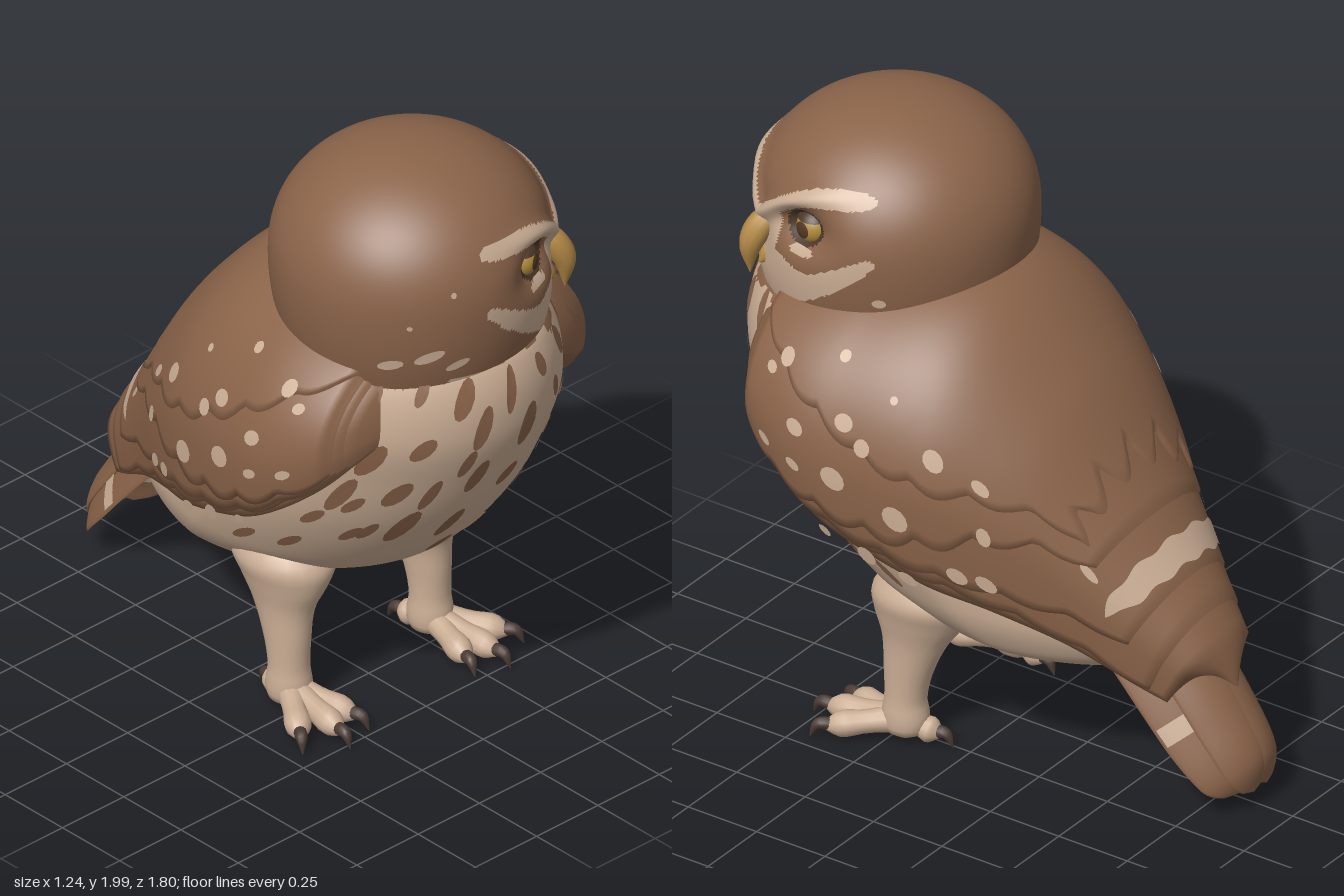
import * as THREE from 'three';

const mat = (name, color, side = THREE.FrontSide) => {
  const m = new THREE.MeshStandardMaterial({ color, side });
  m.name = name;
  return m;
};
const rad = THREE.MathUtils.degToRad, { sin, cos, abs, PI, sqrt, exp, hypot, min, max } = Math;

// Smooth interpolation through [x, y] points sorted by rising x.
function curve(p) {
  const slope = i => {
    const a = p[max(i - 1, 0)], b = p[min(i + 1, p.length - 1)];
    return (b[1] - a[1]) / (b[0] - a[0]);
  };
  return x => {
    if (x <= p[0][0]) return p[0][1];
    if (x >= p[p.length - 1][0]) return p[p.length - 1][1];
    let i = 0;
    while (x > p[i + 1][0]) i++;
    const h = p[i + 1][0] - p[i][0], t = (x - p[i][0]) / h, t2 = t * t, t3 = t2 * t;
    return (2 * t3 - 3 * t2 + 1) * p[i][1] + (t3 - 2 * t2 + t) * h * slope(i) +
      (3 * t2 - 2 * t3) * p[i + 1][1] + (t3 - t2) * h * slope(i + 1);
  };
}

// Grid surface from fn(u, v) -> [x, y, z]; wrap welds the u seam.
function grid(fn, nu, nv, wrap = true) {
  const pos = [], idx = [], cols = wrap ? nu : nu + 1;
  for (let j = 0; j <= nv; j++) for (let i = 0; i < cols; i++) pos.push(...fn(i / nu, j / nv));
  for (let j = 0; j < nv; j++) for (let i = 0; i < nu; i++) {
    const a = j * cols + i, b = j * cols + (i + 1) % cols, c = a + cols, d = b + cols;
    idx.push(a, b, d, a, d, c);
  }
  return finish(pos, idx);
}
function finish(pos, idx) {
  const g = new THREE.BufferGeometry();
  g.setAttribute('position', new THREE.Float32BufferAttribute(pos, 3));
  g.setIndex(idx);
  g.computeVertexNormals();
  return g;
}
// Sorts faces into material groups by pick(x, y, z) at the face centre.
function paint(g, count, pick) {
  const p = g.attributes.position, id = g.index.array, sets = Array.from({ length: count }, () => []);
  for (let i = 0; i < id.length; i += 3) {
    const t = [id[i], id[i + 1], id[i + 2]];
    const mid = f => (p[f](t[0]) + p[f](t[1]) + p[f](t[2])) / 3;
    sets[pick(mid('getX'), mid('getY'), mid('getZ'))].push(...t);
  }
  let start = 0;
  sets.forEach((s, k) => { g.addGroup(start, s.length, k); start += s.length; });
  g.setIndex(sets.flat());
  return g;
}
// Round tapering limb along a path.
function sweep(pts, radii, n = 10) {
  const c = new THREE.CatmullRomCurve3(pts.map(p => new THREE.Vector3(...p)));
  const f = c.computeFrenetFrames(n), r = curve(radii.map((q, i) => [i / (radii.length - 1), q]));
  return grid((u, v) => {
    const k = Math.round(v * n), w = max(r(v), 0.002);
    return c.getPoint(v).addScaledVector(f.normals[k], w * cos(u * 2 * PI))
      .addScaledVector(f.binormals[k], w * sin(u * 2 * PI)).toArray();
  }, 12, n);
}
// Oval plates laid on a surface S(u, v); each spot is [u, v, ru, rv, tilt].
function ovals(S, spots) {
  const pos = [], idx = [], n = 12;
  for (const [u, v, ru, rv, tilt = 0] of spots) {
    const base = pos.length / 3;
    pos.push(...S(u, v));
    for (let k = 0; k < n; k++) {
      const t = k / n * 2 * PI;
      pos.push(...S(u + ru * cos(t) + ru * tilt * sin(t), v + rv * sin(t)));
      idx.push(base, base + 1 + k, base + 1 + (k + 1) % n);
    }
  }
  return finish(pos, idx);
}

export function createModel() {
  const owl = new THREE.Group();
  owl.name = 'owl';
  const brown = mat('brown plumage', 0x8a6349, THREE.DoubleSide), cream = mat('cream plumage', 0xcbae95, THREE.DoubleSide);
  const yellow = mat('eye yellow', 0xb38d3c), horn = mat('beak horn', 0xb58a48);
  const dark = mat('dark eye rim', 0x4a3629), claw = mat('claw', 0x4b3a33), pupil = mat('pupil', 0x533822);
  const add = (name, g, m, parent = owl) => {
    const o = new THREE.Mesh(g, m);
    o.name = name;
    parent.add(o);
    return o;
  };

  // Folded wing and back hull, as arches across z: a = 0 at the spine, 90 at the side.
  const xm = curve([[-.85, .13], [-.75, .17], [-.6, .24], [-.4, .345], [-.2, .46], [0, .55], [.3, .61], [.45, .605], [.6, .55], [.67, .48], [.7, .41]]);
  const yb = curve([[-.85, .42], [-.72, .64], [-.6, .8], [-.44, 1.02], [-.26, 1.28], [0, 1.52], [.3, 1.57], [.6, 1.53], [.7, 1.46]]);
  const yc = curve([[-.85, .34], [-.75, .42], [-.6, .55], [-.4, .74], [-.2, .88], [0, .98], [.3, 1.05], [.6, 1.15], [.7, 1.22]]);
  const yl = curve([[-.85, .26], [-.75, .3], [-.6, .37], [-.4, .49], [-.2, .585], [0, .65], [.3, .78], [.45, .88], [.6, 1.02], [.7, 1.16]]);
  const low = z => (yc(z) - yl(z)) / .57;
  const hull = (z, deg, o) => {
    const a = rad(deg), c = cos(a), s = sin(a);
    const x = max(xm(z) + o, .02) * (c < 0 ? Math.sign(s) * abs(s) ** .4 : s);
    return [x, yc(z) + max((c > 0 ? yb(z) - yc(z) : low(z)) + o, .01) * c, z];
  };
  const sideAngle = (z, y) => {
    const h = y > yc(z) ? yb(z) - yc(z) : low(z);
    return Math.acos(max(-1, min(1, (y - yc(z)) / h))) * 180 / PI;
  };

  // Body
  const bw = curve([[.37, .001], [.38, .1], [.41, .22], [.44, .31], [.5, .375], [.6, .43], [.8, .48], [1, .49], [1.2, .48], [1.4, .405], [1.5, .31]]);
  const zf = curve([[.37, -.34], [.38, -.15], [.41, .05], [.44, .22], [.5, .4], [.6, .55], [.8, .72], [1, .83], [1.2, .895], [1.4, .865], [1.5, .74]]);
  const zb = curve([[.37, -.35], [.38, -.5], [.41, -.55], [.5, -.63], [.6, -.63], [.8, -.5], [1, -.36], [1.2, -.2], [1.4, -.06], [1.5, .04]]);
  const body = (t, y, o = 0) => {
    const c = cos(t), m = (zf(y) + zb(y)) / 2, h = (zf(y) - zb(y)) / 2;
    return [(bw(y) + o) * sin(t) * (c < 0 ? 1 + .2 * c : 1), y, m + (h + o) * c];
  };
  add('body', paint(grid((u, v) => body(u * 2 * PI, .37 + 1.13 * v ** 1.5), 130, 85), 2, (x, y, z) =>
    y > 1.415 + .015 * sin(x * 45) - (abs(x) > .2 ? .03 : 0) || (z < .45 && y > yl(z) + .1) ? 0 : 1), [brown, cream]);

  // Breast streaks: [x, y] across the front, then [z, y] down each flank
  const front = [[-.27, 1.36], [-.37, 1.33], [-.17, 1.33], [-.02, 1.32], [.12, 1.34], [.26, 1.33], [.34, 1.35], [-.12, 1.22], [-.28, 1.17],
    [-.15, 1.09], [-.1, 1.02], [.05, 1.17], [.2, 1.22], [.3, 1.15], [-.38, 1.12], [.23, 1], [.28, .99], [-.3, .98], [-.22, .97],
    [-.4, .96], [.03, .97], [.15, .86], [-.1, .8], [-.24, .82], [-.31, .8], [.26, .83], [.32, .82], [.39, 1], [-.05, .66], [.12, .65]];
  const flank = [[.58, .92], [.53, .78], [.33, .69], [.17, .66], [.45, .84]];
  const streaks = front.map(([x, y], i) => [Math.asin(x / bw(y)), y, .042 + .012 * (i % 3), .042 + .012 * (i % 4), x < .1 ? .5 : -.2]);
  for (const [z, y] of flank) for (const s of [-1, 1])
    streaks.push([s * Math.acos((2 * z - zf(y) - zb(y)) / (zf(y) - zb(y))), y, .045, .038, -.6 * s]);
  add('breastStreaks', ovals((t, y) => body(t, y, .005), streaks), brown);

  // Overlapping feather layers; each ends at back(v), reaches down to the angle reach(z), and tucks in at its tip
  const layers = [
    ['flightFeathers', -.024, .7, v => -.8 + .12 * v * v, () => 124, 0, .25, .08],
    ['primaries', -.016, .67, v => -.73 + .1 * v * v, () => 118, 3, .035, .035],
    ['secondaries', -.008, .65, v => -.66 + .08 * v * v, curve([[-.6, 92], [-.3, 108], [.1, 115], [.6, 115]]), 3, .035, .035],
    ['coverts', .003, .64, v => -.53 + .05 * v * v, curve([[-.5, 60], [-.2, 88], [0, 102], [.2, 107], [.6, 110]]), 5, .035, .035],
    ['mantle', .014, .64, v => -.4 - .06 * abs(sin(2.5 * PI * v)), curve([[-.42, 56], [-.2, 72], [0, 81], [.24, 75], [.5, 60], [.64, 45]]), 4, .035, .035]];
  for (const [name, o, z0, back, reach, scallop, tipTuck, sideTuck] of layers)
    add(name, grid((u, w) => {
      const v = 2 * u - 1, z = z0 + (back(v) - z0) * w, side = u < .001 || u > .999;
      const tuck = w > .999 ? tipTuck : side ? sideTuck : w < .001 ? .035 : 0;
      return hull(z, v * (reach(z) + scallop * abs(sin(7 * PI * w))), o - tuck);
    }, 56, 60, false), brown);

  // Pale wing spots by layer: [z, y, half length, half height]
  const spotRows = [
    [2, [[.3, .83, .02, .02], [.16, .78, .03, .03], [.03, .73, .03, .02], [-.12, .77, .03, .025], [-.2, .75, .03, .025], [-.46, .8, .025, .025]]],
    [3, [[.52, 1.3, .02, .02], [.51, 1.09, .025, .025], [.39, 1.17, .03, .025], [.39, 1.05, .025, .02], [.25, 1.04, .04, .035], [.05, .95, .04, .035], [-.2, .92, .02, .03]]],
    [4, [[.47, 1.34, .025, .03], [.29, 1.38, .018, .018], [.23, 1.22, .03, .025], [.16, 1.16, .025, .025], [-.05, 1.15, .03, .03], [-.18, 1.07, .025, .02], [.1, 1.3, .012, .012]]]];
  for (const [k, list] of spotRows) {
    const spots = list.flatMap(([z, y, a, b]) => [-1, 1].map(s => [z, s * sideAngle(z, y), a, b * 115]));
    add('wingSpots', ovals((z, a) => hull(z, a, layers[k][1] + .006), spots), cream);
  }
  // Pale bar across the lower back
  add('backBar', grid((u, v) => {
    const a = 168 * u - 84, q = -.6 + .09 * (a / 84) ** 2 + .004 * sin(a * .2);
    return hull(q + (.5 - v) * .055 * (1 - (a / 84) ** 6), a, -.001);
  }, 60, 3, false), cream);

  // Tail feathers, arched across, with pale bars above and below
  const spine = new THREE.CatmullRomCurve3([[0, .68, -.48], [0, .5, -.65], [0, .33, -.785], [0, .17, -.88], [0, .07, -.885]].map(p => new THREE.Vector3(...p)));
  const feather = (s, cx, end, sink, t, v, lift = 0) => {
    const x = s * cx * (1 - .35 * v ** 4) + .1 * sqrt(max(0, 1 - v ** 4)) * cos(t);
    const p = spine.getPoint(v * end), d = .02 * sin(t) * (1 - v ** 8) + lift - sink - .12 * (x / .2) ** 2;
    return [x, p.y + .65 * d, p.z - .75 * d];
  };
  for (const s of [-1, 1]) {
    add('tailFeather', grid((u, v) => feather(s, .05, 1, 0, -u * 2 * PI, v), 20, 24), brown);
    add('outerTailFeather', grid((u, v) => feather(s, .112, .93, .025, -u * 2 * PI, v), 20, 24), brown);
    add('tailBar', grid((u, v) => feather(s, .112, .93, .025, s > 0 ? .2 + 1.2 * u : PI - .2 - 1.2 * u, .47 + .08 * v, .005), 8, 2, false), cream);
  }
  add('underTailBar', grid((u, v) => feather(1, .112, .93, .025, -1.5 - 1.4 * u, .71 + .06 * v, -.005), 8, 2, false), cream);

  // Head, turned and slightly tilted to its left; off() is the signed angle from the face direction
  const face = 52, hx = -.02, hz = .46;
  const browLine = curve([[0, 1.66], [20, 1.76], [35, 1.8], [62, 1.815]]);
  const cheekLine = curve([[0, 1.5], [30, 1.5], [45, 1.55], [62, 1.63]]);
  const cheekH = curve([[0, .09], [20, .08], [32, .05], [45, .042], [62, .036]]);
  const off = deg => ((deg - face + 540) % 360) - 180;
  const tilt = e => .016 * max(-1, min(1, e / 45));
  const browY = e => browLine(abs(e)) + tilt(e), cheekY = e => cheekLine(abs(e)) + tilt(e);
  const head = (deg, y, o = 0) => {
    const e = off(deg), d = abs(e), a = rad(deg);
    let r = y > 1.62 ? .43 * sqrt(max(0, 1 - ((y - 1.62) / .38) ** 2.2)) : .43 - .03 * ((1.62 - y) / .22) ** 2;
    r += .03 * exp(-(((y - browY(e)) / .032) ** 2)) * exp(-((d / 42) ** 4));
    r -= .065 * exp(-(((d - 28) / 14) ** 2) - ((y - 1.685 - tilt(e)) / .06) ** 2);
    r -= .02 * exp(-((d / 14) ** 2) - ((y - 1.62) / .1) ** 2);
    return [hx + (r + o) * sin(a), y, hz + (r + o) * cos(a)];
  };
  add('head', paint(grid((u, v) => head(u * 360, 1.36 + .64 * sin(v * PI / 2)), 220, 100), 3, (x, y, z) => {
    const e = off(Math.atan2(x - hx, z - hz) * 180 / PI), d = abs(e);
    const fade = sqrt(max(0, 1 - (d / 64) ** 10));
    if (abs(y - browY(e)) < .028 * fade) return 1;
    if (hypot((d - 28) / 11, (y - 1.687 - tilt(e)) / .056) < 1) return 2;
    if (y > 1.41 + .012 * sin(d) && abs(y - cheekY(e)) < cheekH(d) * fade) return 1;
    if (d < 14 && y > 1.41 && y < browY(e)) return 1;
    if (y < 1.4 && abs(x) < .2 && z > .6) return 1;
    return hypot((d - 29) / 7, (y - 1.618 - tilt(e)) / .014) < 1 ? 1 : 0;
  }), [brown, cream, dark]);
  add('collarPatches', ovals((a, y) => head(a, y, .005),
    [[-36, 1.5, 5, .025, .8], [-24, 1.46, 4, .02, .8], [-52, 1.47, 5, .02, .5], [-26, 1.71, 1.2, .01], [-44, 1.61, 1.2, .008], [118, 1.52, 3, .015]]), cream);

  // Eyes under heavy upper lids
  for (const s of [-1, 1]) {
    const a = rad(face + 29 * s), look = rad(face + 23 * s);
    const eye = new THREE.Group();
    eye.name = s < 0 ? 'rightEye' : 'leftEye';
    eye.position.set(hx + .35 * sin(a), 1.683 + tilt(29 * s), hz + .35 * cos(a));
    const aim = new THREE.Quaternion().setFromUnitVectors(new THREE.Vector3(0, 1, 0), new THREE.Vector3(sin(look), 0, cos(look)));
    add('eyeball', new THREE.SphereGeometry(.056, 24, 16), yellow, eye);
    add('pupil', new THREE.SphereGeometry(.0575, 20, 6, 0, 2 * PI, 0, .5), pupil, eye).quaternion.copy(aim);
    add('upperLid', new THREE.SphereGeometry(.061, 24, 8, 0, 2 * PI, 0, 1.05), dark, eye);
    owl.add(eye);
  }

  // Hooked beak
  const beak = new THREE.Group();
  beak.name = 'beak';
  beak.position.set(hx, 0, hz);
  beak.rotation.y = rad(face);
  add('upperBeak', sweep([[0, 1.66, .36], [0, 1.63, .415], [0, 1.56, .455], [0, 1.46, .458]], [.026, .042, .037, .002], 14), horn, beak);
  add('lowerBeak', sweep([[0, 1.54, .36], [0, 1.515, .4], [0, 1.49, .43]], [.03, .03, .004]), horn, beak);
  owl.add(beak);

  // Legs and feet: rows of [y, half width, half depth, z, x]
  const rows = [[.02, .03, .03, .21, .288], [.04, .06, .065, .21, .288], [.09, .068, .075, .21, .288], [.15, .062, .066, .21, .288],
    [.25, .066, .08, .2, .286], [.36, .08, .11, .18, .28], [.45, .115, .16, .165, .265], [.52, .14, .18, .15, .255], [.6, .1, .12, .14, .25]];
  const [lw, ld, lz, lx] = [1, 2, 3, 4].map(k => curve(rows.map(r => [r[0], r[k]])));
  const toes = [[.42, .4], [.32, .465], [.23, .43], [.27, .11]];
  for (const s of [-1, 1]) {
    const leg = new THREE.Group();
    leg.name = s < 0 ? 'rightLeg' : 'leftLeg';
    add('shank', grid((u, v) => {
      const y = .02 + .58 * v, t = u * 2 * PI;
      return [s * lx(y) + lw(y) * sin(t), y, lz(y) + ld(y) * cos(t)];
    }, 24, 28), cream, leg);
    for (const [x, z] of toes) {
      const l = hypot(x - .288, z - .21), dx = (x - .288) / l, dz = (z - .21) / l;
      const at = (q, y) => [s * (.288 + dx * q), y, .21 + dz * q];
      add('toe', sweep([at(0, .075), at(l * .5, .06), at(l * .85, .05), at(l + .02, .04)], [.045, .036, .04, .004]), cream, leg);
      add('claw', sweep([at(l - .015, .05), at(l + .03, .05), at(l + .055, .008)], [.02, .018, .002]), claw, leg);
    }
    owl.add(leg);
  }
  return owl;
}
